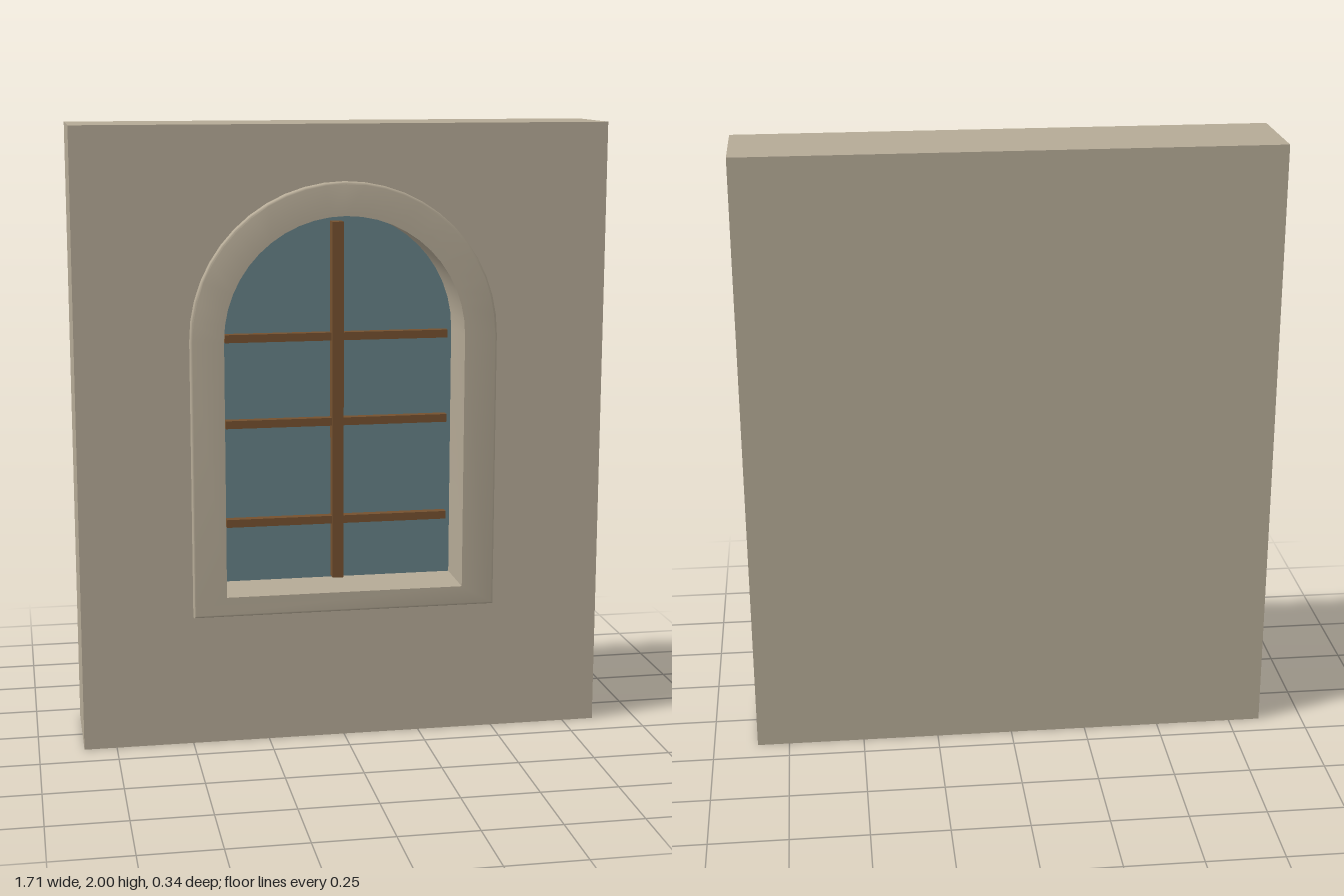
import * as THREE from 'three';
import { mergeGeometries, toCreasedNormals } from 'three/addons/utils/BufferGeometryUtils.js';

const WALL = { w: 1.71, h: 2, back: -0.172, front: 0.145 };
const TRIM_FRONT = 0.172, GLASS_Z = -0.02, SPRING = 1.327;

// Round-headed outline, counterclockwise from the lower left corner
function archPoints(half, bottom, segments = 24) {
  const pts = [new THREE.Vector2(-half, bottom), new THREE.Vector2(half, bottom)];
  for (let i = 0; i <= segments; i++) {
    const a = (Math.PI * i) / segments;
    pts.push(new THREE.Vector2(half * Math.cos(a), SPRING + half * Math.sin(a)));
  }
  return pts;
}

// Skin joining closed outlines, each given as { pts, z }
function loft(rings) {
  const pos = [];
  const put = (ring, j) => {
    const p = ring.pts[j % ring.pts.length];
    pos.push(p.x, p.y, ring.z);
  };
  for (let i = 0; i < rings.length - 1; i++) {
    const a = rings[i], b = rings[i + 1];
    for (let j = 0; j < a.pts.length; j++) {
      put(a, j); put(a, j + 1); put(b, j + 1);
      put(a, j); put(b, j + 1); put(b, j);
    }
  }
  const geo = new THREE.BufferGeometry();
  geo.setAttribute('position', new THREE.Float32BufferAttribute(pos, 3));
  return toCreasedNormals(geo, 0.6);
}

// Box without its front, closed by a front face with an arched hole
function wallGeometry() {
  const depth = WALL.front - WALL.back;
  const box = new THREE.BoxGeometry(WALL.w, WALL.h, depth);
  box.translate(0, WALL.h / 2, (WALL.front + WALL.back) / 2);
  const index = Array.from(box.index.array);
  index.splice(24, 6);
  box.setIndex(index);

  const x = WALL.w / 2;
  const face = new THREE.Shape([
    new THREE.Vector2(-x, 0), new THREE.Vector2(x, 0),
    new THREE.Vector2(x, WALL.h), new THREE.Vector2(-x, WALL.h),
  ]);
  face.holes.push(new THREE.Path(archPoints(0.41, 0.475)));
  const front = new THREE.ShapeGeometry(face);
  front.translate(0, 0, WALL.front);
  return mergeGeometries([box, front]);
}

// Raised surround with a rounded outer edge, running back into the deep reveal
function surroundGeometry() {
  const r = 0.008;
  const rings = [{ pts: archPoints(0.495, 0.43), z: WALL.front }];
  for (let i = 0; i <= 3; i++) {
    const a = (Math.PI / 2) * (i / 3);
    const inset = r * (1 - Math.cos(a));
    rings.push({
      pts: archPoints(0.495 - inset, 0.43 + inset),
      z: TRIM_FRONT - r + r * Math.sin(a),
    });
  }
  const opening = archPoints(0.388, 0.495);
  rings.push({ pts: opening, z: TRIM_FRONT }, { pts: opening, z: GLASS_Z });
  return loft(rings);
}

export function createModel() {
  const stone = new THREE.MeshStandardMaterial({ color: 0xb5aa96 });
  stone.name = 'stone';
  const glass = new THREE.MeshStandardMaterial({ color: 0x668187 });
  glass.name = 'glass';
  const wood = new THREE.MeshStandardMaterial({ color: 0x75512f });
  wood.name = 'wood';

  const model = new THREE.Group();
  model.name = 'archedWindowWall';
  const add = (name, geometry, material, x = 0, y = 0, z = 0) => {
    const mesh = new THREE.Mesh(geometry, material);
    mesh.name = name;
    mesh.position.set(x, y, z);
    model.add(mesh);
  };

  add('wall', wallGeometry(), stone);
  add('surround', surroundGeometry(), stone);
  add('windowPane', new THREE.ShapeGeometry(new THREE.Shape(archPoints(0.388, 0.495))), glass, 0, 0, GLASS_Z);

  // Glazing bars
  add('verticalBar', new THREE.BoxGeometry(0.037, 1.18, 0.045), wood, 0, 1.095, 0.01);
  [0.7, 1.03, 1.312].forEach((y, i) => {
    add(`horizontalBar${i + 1}`, new THREE.BoxGeometry(0.735, 0.026, 0.03), wood, 0, y, 0.002);
  });

  return model;
}
